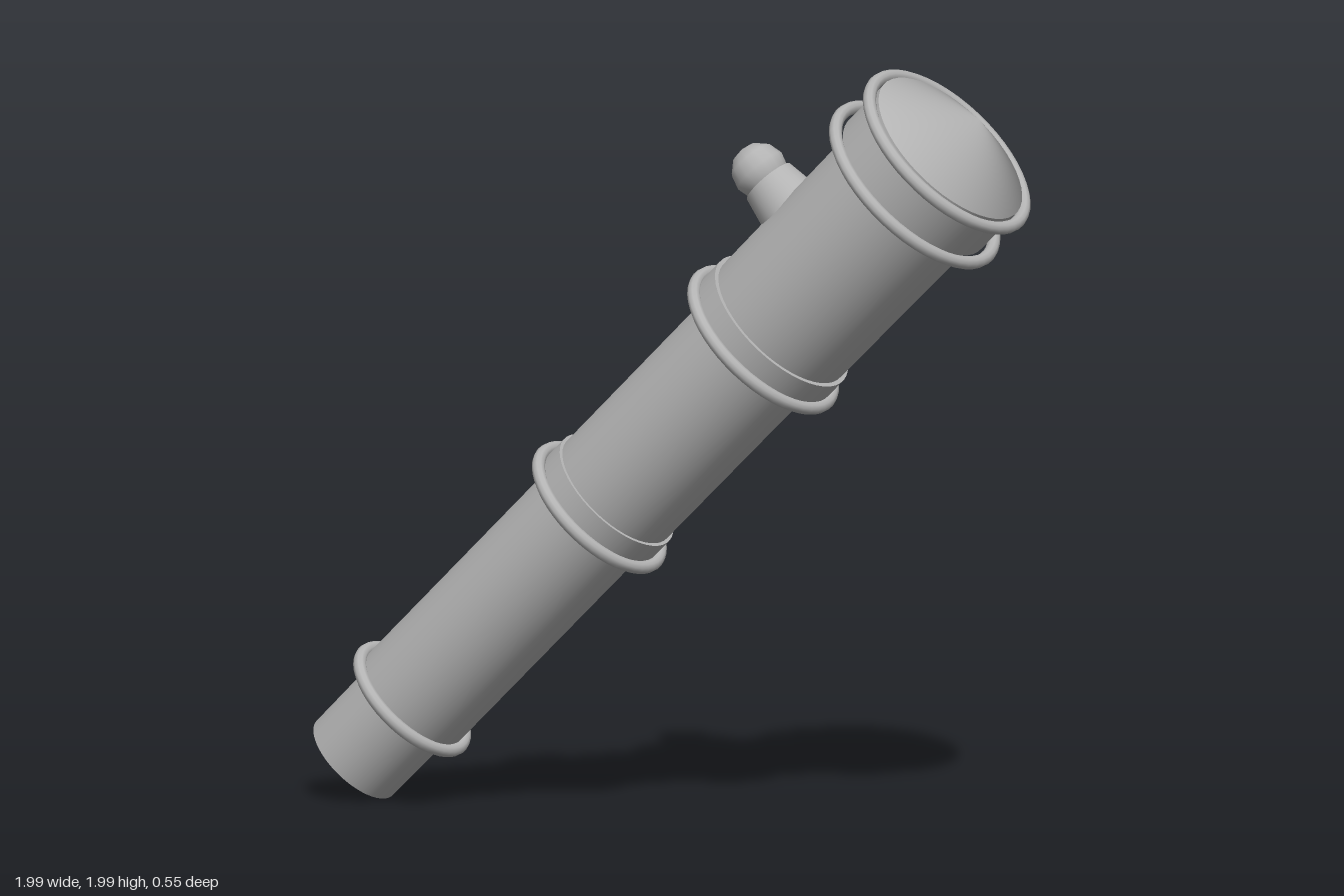
import * as THREE from 'three';

export function createModel() {
  const model = new THREE.Group();
  model.name = 'spyglass';
  const grey = new THREE.MeshStandardMaterial({ color: 0xb4b4b4 });
  grey.name = 'grey metal';
  const SIDES = 48;

  const add = (name, geometry, parent) => {
    const mesh = new THREE.Mesh(geometry, grey);
    mesh.name = name;
    parent.add(mesh);
    return mesh;
  };

  // Everything lies along one axis (local y), tilted 45 degrees at the end
  const barrel = new THREE.Group();
  barrel.name = 'barrel';
  model.add(barrel);

  // Nested tubes: name, start, end, start radius, end radius
  const tubes = [
    ['eyepiece', -1.273, -1.0, 0.136, 0.138],
    ['rearTube', -1.04, -0.24, 0.161, 0.162],
    ['middleTube', -0.28, 0.42, 0.178, 0.18],
    ['frontTube', 0.385, 1.02, 0.207, 0.213],
    ['head', 1.0, 1.145, 0.236, 0.236],
    ['middleCollar', -0.28, -0.21, 0.187, 0.187],
    ['frontCollar', 0.385, 0.46, 0.219, 0.219],
  ];
  for (const [name, from, to, r0, r1] of tubes) {
    add(name, new THREE.CylinderGeometry(r1, r0, to - from, SIDES), barrel).position.y = (from + to) / 2;
  }

  // Trim rings: position along the axis, ring radius
  const rings = [[-1.04, 0.172], [-0.28, 0.2], [0.385, 0.228], [1.0, 0.26], [1.13, 0.254]];
  for (const [y, r] of rings) {
    const ring = add('trimRing', new THREE.TorusGeometry(r, 0.017, 10, SIDES), barrel);
    ring.rotation.x = Math.PI / 2;
    ring.position.y = y;
  }

  // Front lens: a shallow cone shaded softly like a dome
  const lens = new THREE.ConeGeometry(0.236, 0.115, SIDES, 1, true);
  const pos = lens.attributes.position;
  const normal = new THREE.Vector3();
  for (let i = 0; i < pos.count; i++) {
    if (pos.getY(i) > 0) normal.set(0, 1, 0);
    else normal.set(pos.getX(i), 0.2, pos.getZ(i)).normalize();
    lens.attributes.normal.setXYZ(i, normal.x, normal.y, normal.z);
  }
  add('frontLens', lens, barrel).position.y = 1.2025;

  // Small bulging lens at the eyepiece
  const eyeLens = add('eyeLens', new THREE.SphereGeometry(0.105, 32, 8, 0, Math.PI * 2, Math.PI / 2, Math.PI / 2), barrel);
  eyeLens.scale.y = 0.35;
  eyeLens.position.y = -1.27;

  // Knob on the upper side of the front tube
  const knob = new THREE.Group();
  knob.name = 'knob';
  knob.rotation.z = Math.PI / 2;
  knob.position.y = 0.687;
  barrel.add(knob);
  add('knobBase', new THREE.CylinderGeometry(0.072, 0.092, 0.11, 24), knob).position.y = 0.225;
  add('knobBall', new THREE.SphereGeometry(0.073, 16, 6), knob).position.y = 0.316;

  barrel.rotation.z = -Math.PI / 4;
  barrel.position.y = 1;
  return model;
}
